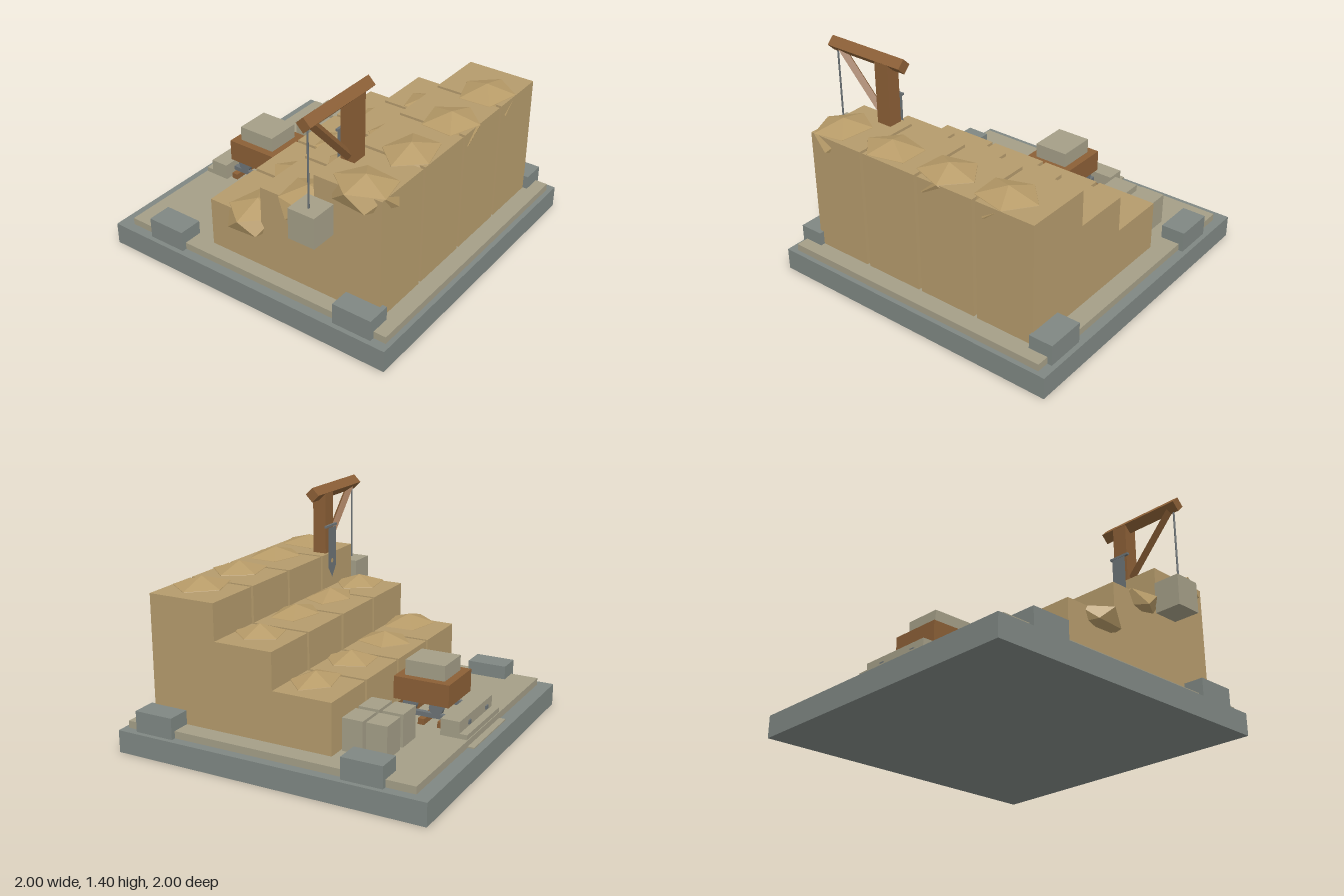
import * as THREE from 'three';

const mat = (name, color, side = THREE.FrontSide) => {
  const m = new THREE.MeshStandardMaterial({ color, side });
  m.name = name;
  return m;
};

export function createModel() {
  const root = new THREE.Group();
  root.name = 'quarry';
  const slate = mat('slate grey', 0x7f8783);
  const paving = mat('pale stone', 0xa49e87);
  const sand = mat('sandstone', 0xb59b6c);
  const rubbleMat = mat('rubble sandstone', 0xb79b68);
  const wood = mat('timber', 0x8b5f36);
  const metal = mat('iron', 0x6c7376, THREE.DoubleSide);

  const add = (name, geo, m, parent = root) => {
    const mesh = new THREE.Mesh(geo, m);
    mesh.name = name;
    parent.add(mesh);
    return mesh;
  };
  // Box given by its limits on each axis
  const box = (name, m, x0, x1, y0, y1, z0, z1, parent = root) => {
    const b = add(name, new THREE.BoxGeometry(x1 - x0, y1 - y0, z1 - z0), m, parent);
    b.position.set((x0 + x1) / 2, (y0 + y1) / 2, (z0 + z1) / 2);
  };
  const group = (name) => {
    const g = new THREE.Group();
    g.name = name;
    root.add(g);
    return g;
  };

  // Ground
  box('base', slate, -0.97, 1, 0, 0.14, -1, 1);
  box('paving', paving, -0.91, 0.94, 0.14, 0.185, -0.91, 0.97);
  for (const [x0, x1] of [[-0.94, -0.785], [0.815, 0.97]])
    for (const [z0, z1] of [[-0.73, -0.475], [0.635, 0.89]])
      box('cornerBlock', slate, x0, x1, 0.14, 0.272, z0, z1);

  // Stepped rock face: four columns of three tiers
  const tiers = [
    { z0: -0.34, z1: 0.04, top: 0.5 },
    { z0: 0.04, z1: 0.42, top: 0.728 },
    { z0: 0.42, z1: 0.86, top: 0.955 },
  ];
  const cliff = group('rockFace');
  for (const t of tiers)
    for (let i = 0; i < 4; i++) {
      const x = -0.81 + i * 0.413;
      box('rockBlock', sand, x, x + 0.391, 0.18, t.top, t.z0, t.z1, cliff);
    }

  // Flat faceted lumps: an icosahedron stood on a corner and squashed
  const lump = (x, z, rx, rz, degrees, top) => {
    const g = new THREE.IcosahedronGeometry(1, 0);
    g.rotateZ(Math.atan(2 / (1 + Math.sqrt(5))));
    // Find a corner of the upper ring and turn it to the wanted heading
    const p = g.attributes.position;
    let heading = 0;
    for (let i = 0; i < p.count; i++)
      if (p.getY(i) > 0.3 && p.getY(i) < 0.6) heading = Math.atan2(p.getZ(i), p.getX(i));
    g.rotateY(heading - THREE.MathUtils.degToRad(degrees));
    g.scale(rx / 0.894, 0.1, rz / 0.894);
    g.computeVertexNormals();
    add('rubble', g, rubbleMat, cliff).position.set(x, top - 0.042, z);
  };
  // x, z, x radius, z radius, heading for every tier
  const lumps = [
    [[-0.705, -0.07, 0.2, 0.165, 177], [-0.295, -0.1, 0.16, 0.175, -90],
      [0.13, -0.09, 0.165, 0.165, 12], [0.55, -0.085, 0.195, 0.14, 0]],
    [[-0.695, 0.295, 0.185, 0.16, 9], [-0.305, 0.3, 0.2, 0.14, -20],
      [0.115, 0.305, 0.2, 0.135, -36], [0.555, 0.28, 0.15, 0.16, 5]],
    [[-0.71, 0.69, 0.165, 0.195, -28], [-0.3, 0.705, 0.2, 0.16, 180],
      [0.12, 0.705, 0.19, 0.17, 4], [0.53, 0.7, 0.195, 0.17, -3]],
  ];
  lumps.forEach((row, t) => row.forEach((l) => lump(...l, tiers[t].top)));

  // Crane
  const crane = group('crane');
  const cz = 0.482;
  box('cranePost', wood, -0.59, -0.49, 0.9, 1.352, cz - 0.046, cz + 0.046, crane);
  // Square timber laid on edge between two points in the crane's plane
  const timber = (name, x0, y0, x1, y1, side) => {
    const g = new THREE.BoxGeometry(Math.hypot(x1 - x0, y1 - y0), side, side);
    g.rotateX(Math.PI / 4);
    const b = add(name, g, wood, crane);
    b.rotation.z = Math.atan2(y1 - y0, x1 - x0);
    b.position.set((x0 + x1) / 2, (y0 + y1) / 2, cz);
  };
  timber('craneBeam', -0.97, 1.353, -0.4, 1.353, 0.067);
  timber('craneBrace', -0.905, 1.335, -0.56, 0.965, 0.04);
  add('rope', new THREE.CylinderGeometry(0.006, 0.006, 0.52, 6), metal, crane)
    .position.set(-0.935, 1.08, cz);
  box('hangingStone', paving, -1, -0.828, 0.64, 0.835, 0.39, 0.565, crane);
  // Blade hung on a peg behind the post
  const blade = new THREE.Shape([[-0.59, 1.125], [-0.49, 1.125], [-0.49, 0.86], [-0.54, 0.79], [-0.59, 0.86]]
    .map(([x, y]) => new THREE.Vector2(x, y)));
  const hole = new THREE.Path();
  hole.absarc(-0.54, 0.9, 0.015, 0, Math.PI * 2, true);
  blade.holes.push(hole);
  add('blade', new THREE.ShapeGeometry(blade, 6), metal, crane).position.z = 0.416;
  box('bladePeg', metal, -0.61, -0.472, 1.128, 1.142, 0.418, 0.434, crane);

  // Track and loaded cart
  const cart = group('cartAndTrack');
  const mid = -0.015;
  for (const z of [-0.7, -0.575, -0.435, -0.32])
    box('sleeper', wood, mid - 0.185, mid + 0.185, 0.185, 0.222, z - 0.02, z + 0.02, cart);
  for (const s of [-1, 1]) {
    const x = mid + s * 0.13;
    box('rail', metal, x - 0.015, x + 0.015, 0.222, 0.25, -0.735, -0.3, cart);
    for (const z of [-0.65, -0.48]) {
      const g = new THREE.CylinderGeometry(0.045, 0.045, 0.03, 10);
      g.rotateZ(Math.PI / 2);
      add('wheel', g, metal, cart).position.set(x, 0.285, z);
    }
  }
  box('cartBed', wood, mid - 0.165, mid + 0.165, 0.31, 0.36, -0.74, -0.385, cart);
  for (const s of [-1, 1]) {
    const x = mid + s * 0.14;
    box('cartSide', wood, x - 0.025, x + 0.025, 0.36, 0.45, -0.74, -0.385, cart);
  }
  for (const z of [-0.715, -0.41])
    box('cartEnd', wood, mid - 0.115, mid + 0.115, 0.36, 0.45, z - 0.025, z + 0.025, cart);
  box('cartStone', paving, mid - 0.115, mid + 0.115, 0.36, 0.545, -0.69, -0.435, cart);

  // Stop wall with steps at the back end of the track
  const steps = group('stopWallAndSteps');
  box('stopWall', paving, -0.235, 0.257, 0.18, 0.287, -0.857, -0.738, steps);
  box('step', paving, -0.235, 0.257, 0.18, 0.215, -0.905, -0.857, steps);
  box('threshold', paving, -0.235, 0.257, 0.14, 0.148, -0.95, -0.905, steps);
  for (const x of [-0.145, 0.115])
    box('bolt', metal, x - 0.015, x + 0.015, 0.228, 0.252, -0.865, -0.857, steps);

  // Cut stones in a square stack
  for (const [x0, x1] of [[0.362, 0.525], [0.56, 0.722]])
    for (const [z0, z1] of [[-0.63, -0.5], [-0.48, -0.35]])
      box('cutStone', paving, x0, x1, 0.18, 0.383, z0, z1);

  return root;
}
